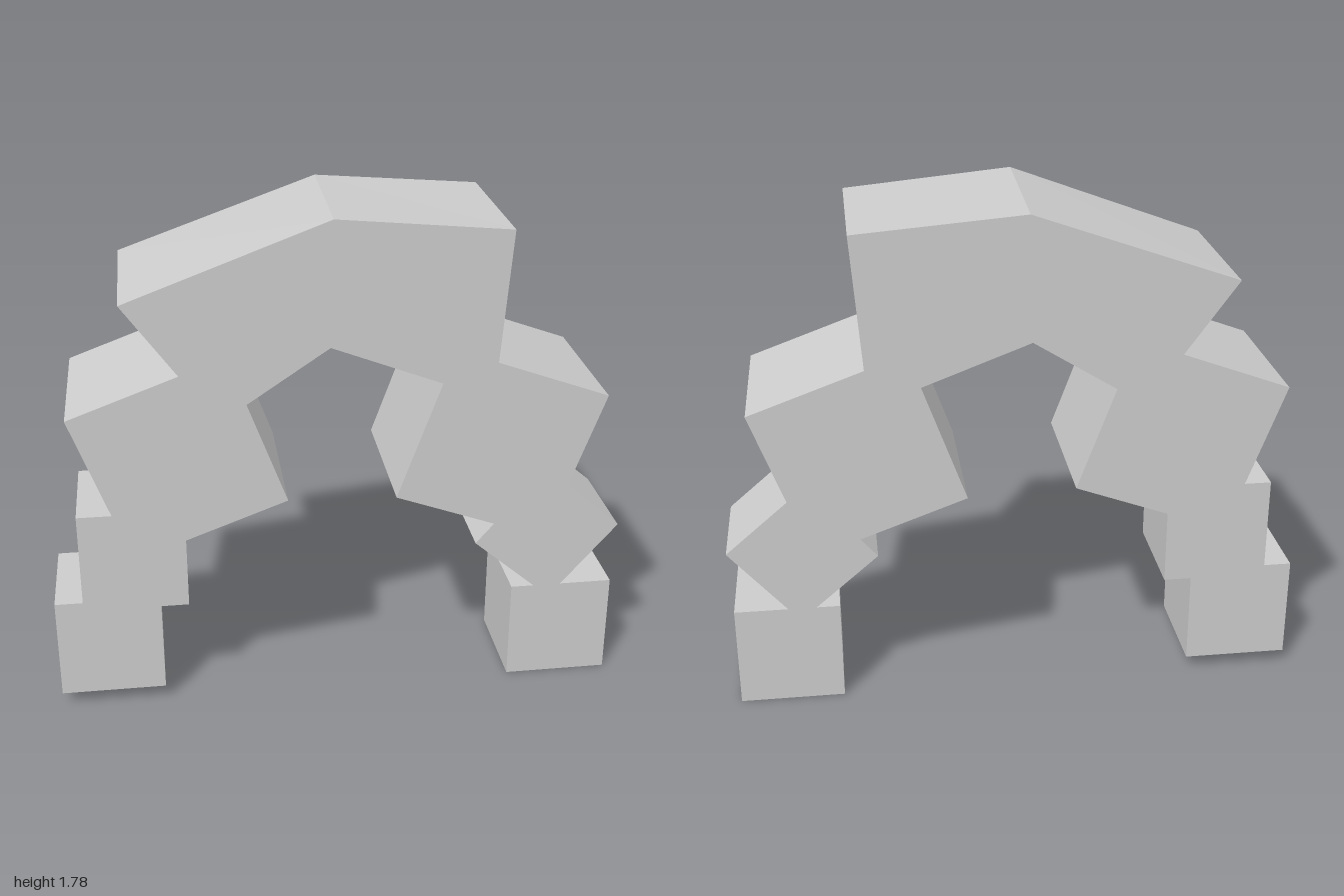
import * as THREE from 'three';

const material = new THREE.MeshStandardMaterial({ color: 0xcccccc, flatShading: true });

// Square-faced block, turned about z
function block(name, size, x, y, degrees = 0) {
  const mesh = new THREE.Mesh(new THREE.BoxGeometry(size, size, size), material);
  mesh.name = name;
  mesh.position.set(x, y, 0);
  mesh.rotation.z = THREE.MathUtils.degToRad(degrees);
  return mesh;
}

// Bent span: an extruded outline whose back crease sits slightly lower
function span() {
  const outline = [
    [-0.715, 1.535], [-0.415, 1.12], [-0.05, 1.363],
    [0.493, 1.153], [0.537, 1.73], [-0.04, 1.785],
  ].map(([x, y]) => new THREE.Vector2(x, y));
  const depth = 0.58;
  const geometry = new THREE.ExtrudeGeometry(new THREE.Shape(outline), { depth, bevelEnabled: false });
  geometry.translate(0, 0, -depth / 2);
  const p = geometry.attributes.position;
  for (let i = 0; i < p.count; i++) {
    if (p.getZ(i) < 0 && Math.abs(p.getX(i) + 0.045) < 0.02) {
      p.setXY(i, p.getX(i) + 0.01, p.getY(i) - 0.009);
    }
  }
  geometry.computeVertexNormals();
  const mesh = new THREE.Mesh(geometry, material);
  mesh.name = 'archSpan';
  return mesh;
}

export function createModel() {
  const model = new THREE.Group();
  model.name = 'blockArch';
  const small = 0.366, large = 0.557;
  model.add(
    span(),
    // Left leg
    block('leftShoulder', large, 0.532, 0.973, -19.9),
    block('leftKnee', small, 0.738, 0.575, -40.6),
    block('leftFoot', small, 0.803, 0.183),
    // Right leg
    block('rightShoulder', large, -0.55, 0.985, 20.2),
    block('rightKnee', small, -0.72, 0.569),
    block('rightFoot', small, -0.817, 0.237),
  );
  return model;
}
